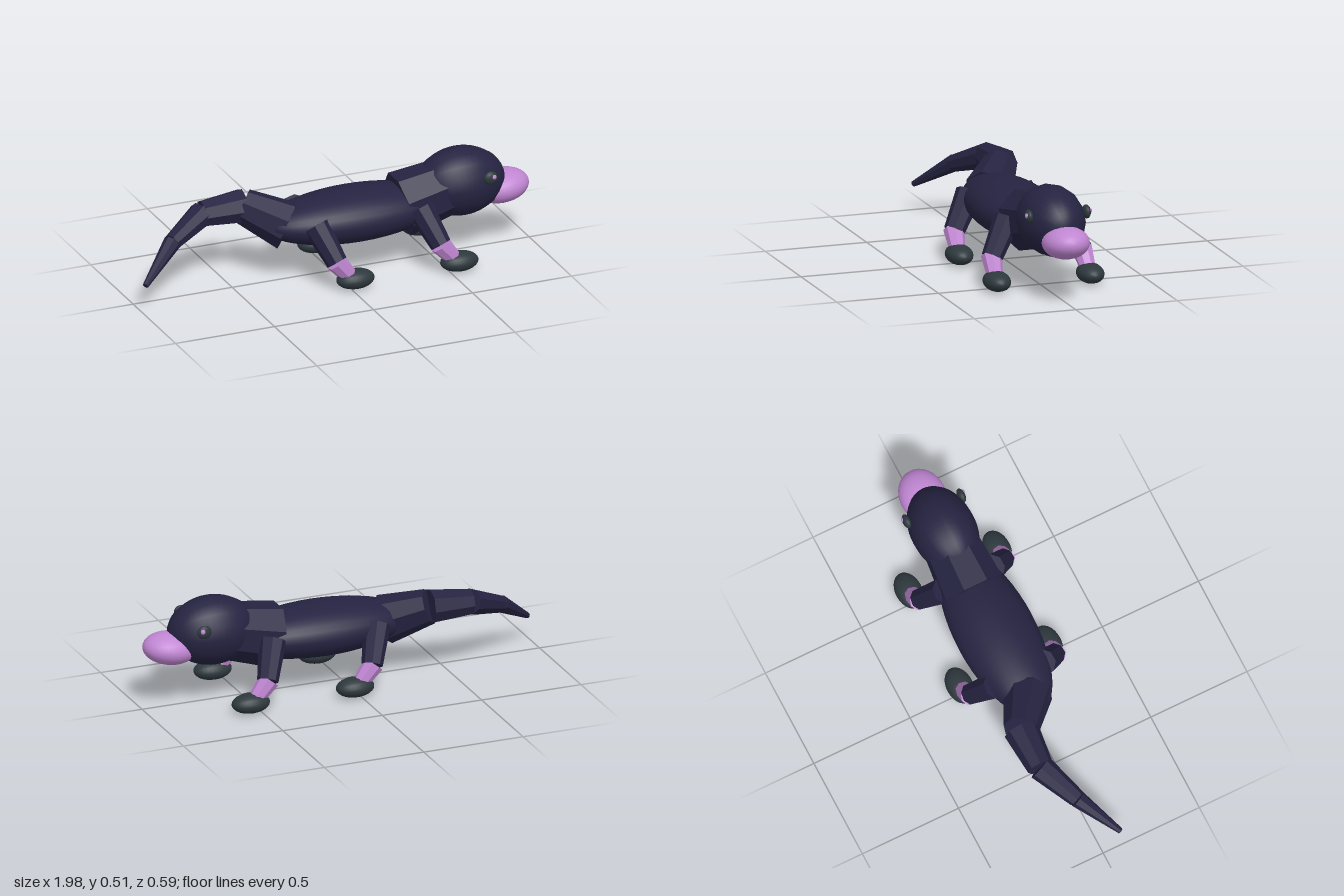
import * as THREE from 'three';

export function createModel() {
  const model = new THREE.Group();
  model.name = 'platypus';

  const fur = new THREE.MeshStandardMaterial({ color: 0x252341 });
  fur.name = 'dark fur';
  const pink = new THREE.MeshStandardMaterial({ color: 0xc086d2 });
  pink.name = 'orchid pink';
  const slate = new THREE.MeshStandardMaterial({ color: 0x2d383d });
  slate.name = 'slate grey';

  // Smooth ellipsoid with its poles along x
  function ellipsoid(name, material, center, radii, around = 24, along = 16) {
    const g = new THREE.SphereGeometry(1, around, along);
    g.rotateZ(-Math.PI / 2);
    g.scale(...radii);
    const mesh = new THREE.Mesh(g, material);
    mesh.name = name;
    mesh.position.set(...center);
    model.add(mesh);
    return mesh;
  }

  // Faceted tapered limb between two points
  function limb(name, material, from, to, r0, r1, roll = 0) {
    const a = new THREE.Vector3(...from);
    const b = new THREE.Vector3(...to);
    const axis = b.clone().sub(a);
    const indexed = new THREE.CylinderGeometry(r1, r0, axis.length(), 8);
    indexed.rotateY(roll);
    const g = indexed.toNonIndexed();
    g.computeVertexNormals();
    const mesh = new THREE.Mesh(g, material);
    mesh.name = name;
    mesh.position.copy(a).add(b).multiplyScalar(0.5);
    mesh.quaternion.setFromUnitVectors(new THREE.Vector3(0, 1, 0), axis.normalize());
    model.add(mesh);
    return mesh;
  }

  // Trunk, neck and head
  ellipsoid('body', fur, [0.11, 0.275, 0], [0.45, 0.125, 0.19], 32, 24);
  limb('neck', fur, [0.345, 0.278, 0], [0.6, 0.335, 0], 0.156, 0.135, Math.PI / 8);
  ellipsoid('head', fur, [0.65, 0.347, 0], [0.217, 0.165, 0.155], 16, 24);
  const bill = ellipsoid('bill', pink, [0.86, 0.288, 0], [0.132, 0.077, 0.11]);
  bill.rotation.z = 0.12;

  // Eyes and legs, mirrored across z
  for (const s of [1, -1]) {
    const side = s > 0 ? 'Near' : 'Far';
    ellipsoid('eye' + side, slate, [0.745, 0.398, s * 0.142], [0.035, 0.033, 0.019], 16, 12);
    ellipsoid('eyeGlint' + side, pink, [0.757, 0.405, s * 0.153], [0.012, 0.013, 0.012], 12, 8);

    for (const [pos, x] of [['front', 0.525], ['hind', 0]]) {
      limb(pos + 'UpperLeg' + side, fur,
        [x - 0.13, 0.3, s * 0.125], [x - 0.065, 0.14, s * 0.222], 0.064, 0.05);
      limb(pos + 'LowerLeg' + side, pink,
        [x - 0.072, 0.147, s * 0.222], [x + 0.005, 0.055, s * 0.23], 0.05, 0.036);
      ellipsoid(pos + 'Foot' + side, slate, [x + 0.024, 0.048, s * 0.23], [0.093, 0.047, 0.063], 20, 14);
    }
  }

  // Tail as a curving chain of tapered segments: x, y, z, radius
  const tail = [
    [-0.22, 0.265, 0, 0.118],
    [-0.395, 0.347, -0.122, 0.084],
    [-0.6, 0.34, -0.125, 0.063],
    [-0.79, 0.265, -0.03, 0.042],
    [-0.98, 0.13, 0.1, 0.014],
  ];
  for (let i = 0; i < tail.length - 1; i++) {
    const a = tail[i], b = tail[i + 1];
    limb('tailSegment' + (i + 1), fur, a.slice(0, 3), b.slice(0, 3), a[3], b[3]);
  }

  return model;
}
